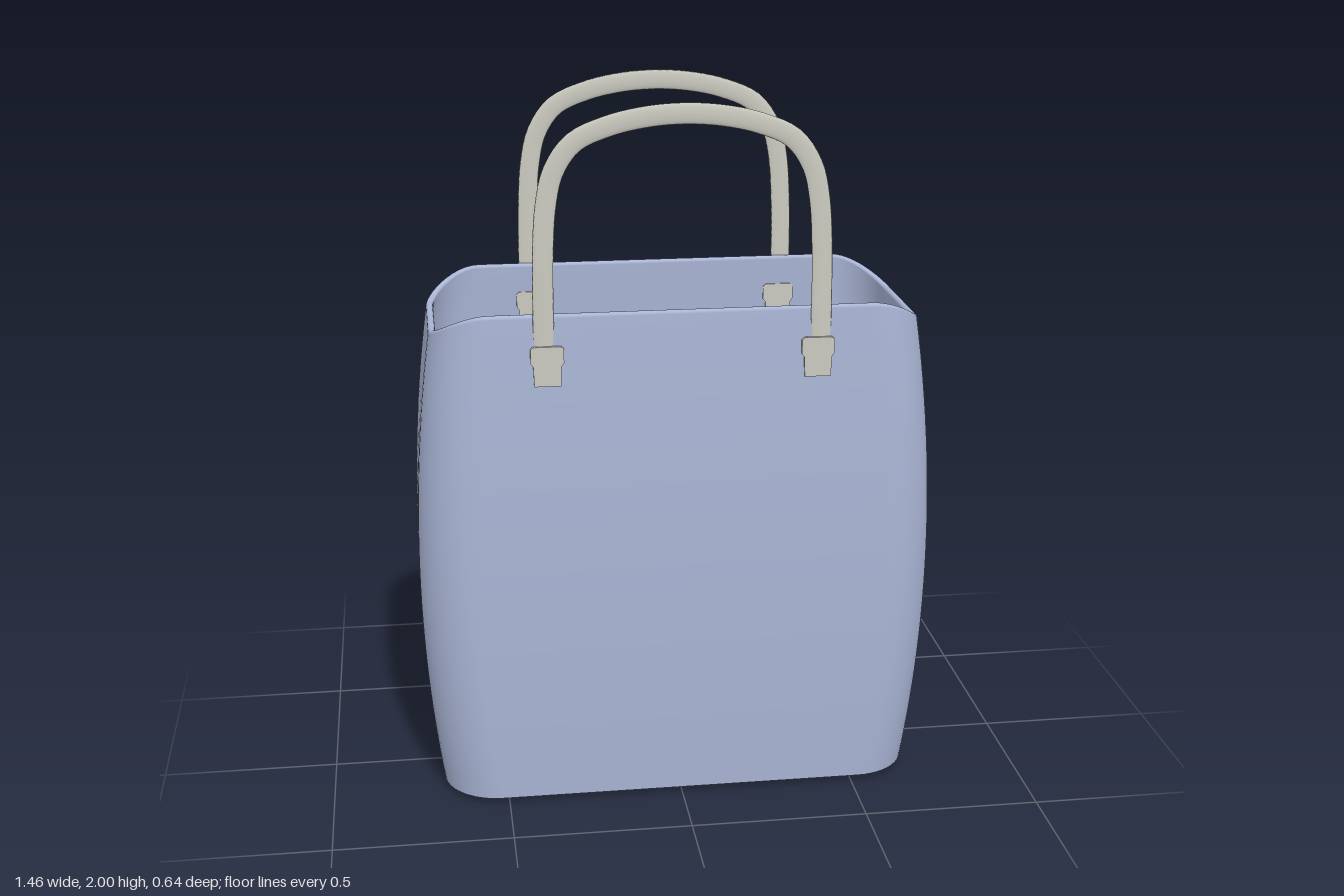
import * as THREE from 'three';
import { RoundedBoxGeometry } from 'three/addons/geometries/RoundedBoxGeometry.js';

const BOTTOM = 0.015, WALL = 0.02, CORNER = 0.16, STEPS = 12;

// Loop around the bag at height fraction v, moved inward by inset and up by lift.
// The rim is high along the front and back and dips at the two ends.
function loop(v, inset, lift = 0) {
  const bulge = 1 - (2 * v - 1) ** 2;
  const cx = 0.68 + 0.05 * bulge - CORNER, cz = 0.3 + 0.02 * bulge - CORNER;
  const r = CORNER - inset, points = [];
  for (let q = 0; q < 4; q++) {
    for (let k = 0; k <= STEPS; k++) {
      const f = k / STEPS, angle = (q + f) * Math.PI / 2;
      const rim = 1.365 + 0.07 * THREE.MathUtils.smoothstep(q % 2 ? 1 - f : f, 0, 1);
      points.push([
        (q === 0 || q === 3 ? cx : -cx) + r * Math.cos(angle),
        BOTTOM + v * (rim - BOTTOM) + lift,
        (q < 2 ? cz : -cz) + r * Math.sin(angle),
      ]);
    }
  }
  return points;
}

// Skin joining closed loops in order
function loft(loops) {
  const n = loops[0].length, index = [];
  for (let i = 0; i < loops.length - 1; i++) {
    for (let j = 0; j < n; j++) {
      const a = i * n + j, b = i * n + (j + 1) % n;
      index.push(a, a + n, b, b, a + n, b + n);
    }
  }
  const geometry = new THREE.BufferGeometry();
  geometry.setAttribute('position', new THREE.Float32BufferAttribute(loops.flat(2), 3));
  geometry.setIndex(index);
  geometry.computeVertexNormals();
  return geometry;
}

// Patch with a slightly wider upper half, passing through the wall
function tabGeometry() {
  const shape = new THREE.Shape();
  shape.moveTo(-0.036, -0.055);
  shape.lineTo(0.036, -0.055);
  shape.lineTo(0.038, 0);
  shape.lineTo(0.045, 0.01);
  shape.lineTo(0.045, 0.048);
  shape.lineTo(0.038, 0.055);
  shape.lineTo(-0.038, 0.055);
  shape.lineTo(-0.045, 0.048);
  shape.lineTo(-0.045, 0.01);
  shape.lineTo(-0.038, 0);
  const geometry = new THREE.ExtrudeGeometry(shape, { depth: 0.034, bevelEnabled: false });
  return geometry.translate(0, 0, -0.017);
}

export function createModel() {
  const blue = new THREE.MeshStandardMaterial({ color: 0xa9b5d5 });
  blue.name = 'bag blue';
  const grey = new THREE.MeshStandardMaterial({ color: 0xcacac0 });
  grey.name = 'handle grey';

  const model = new THREE.Group();
  model.name = 'toteBag';
  const add = (name, geometry, material, x = 0, y = 0, z = 0) => {
    const mesh = new THREE.Mesh(geometry, material);
    mesh.name = name;
    mesh.position.set(x, y, z);
    model.add(mesh);
    return mesh;
  };

  // Bulging wall: up the outside, over the rounded rim, down the inside
  const rows = 24, loops = [];
  for (let i = 0; i <= rows; i++) loops.push(loop(i / rows, 0));
  for (let i = 1; i < 8; i++) {
    const a = i / 8 * Math.PI;
    loops.push(loop(1, WALL / 2 * (1 - Math.cos(a)), WALL / 2 * Math.sin(a)));
  }
  for (let i = rows; i >= 0; i--) loops.push(loop(i / rows, WALL));
  add('bagWall', loft(loops), blue);
  add('bottomEdge', loft([loop(0, WALL), loop(0, 0)]), blue);

  // Base plate, set clear of the wall
  add('basePlate', new RoundedBoxGeometry(1.11, 0.03, 0.43, 3, 0.008), blue, 0, 0.015, 0);

  // Flattened handles with a tab at each end
  const half = [[0.376, 1.3], [0.376, 1.45], [0.374, 1.6], [0.364, 1.74], [0.342, 1.83], [0.29, 1.902], [0.2, 1.943], [0.1, 1.965]];
  const path = new THREE.CatmullRomCurve3([
    ...half.map(([x, y]) => new THREE.Vector3(-x, y, 0)),
    new THREE.Vector3(0, 1.972, 0),
    ...half.slice().reverse().map(([x, y]) => new THREE.Vector3(x, y, 0)),
  ]);
  const strap = new THREE.TubeGeometry(path, 80, 0.028, 16).scale(1, 1, 0.22);
  const tab = tabGeometry();
  for (const [side, s] of [['front', 1], ['back', -1]]) {
    add(side + 'Handle', strap, grey, 0, 0, s * 0.301);
    add(side + 'LeftTab', tab, grey, 0.368, 1.305, s * 0.297);
    add(side + 'RightTab', tab, grey, -0.368, 1.305, s * 0.297);
  }
  return model;
}
